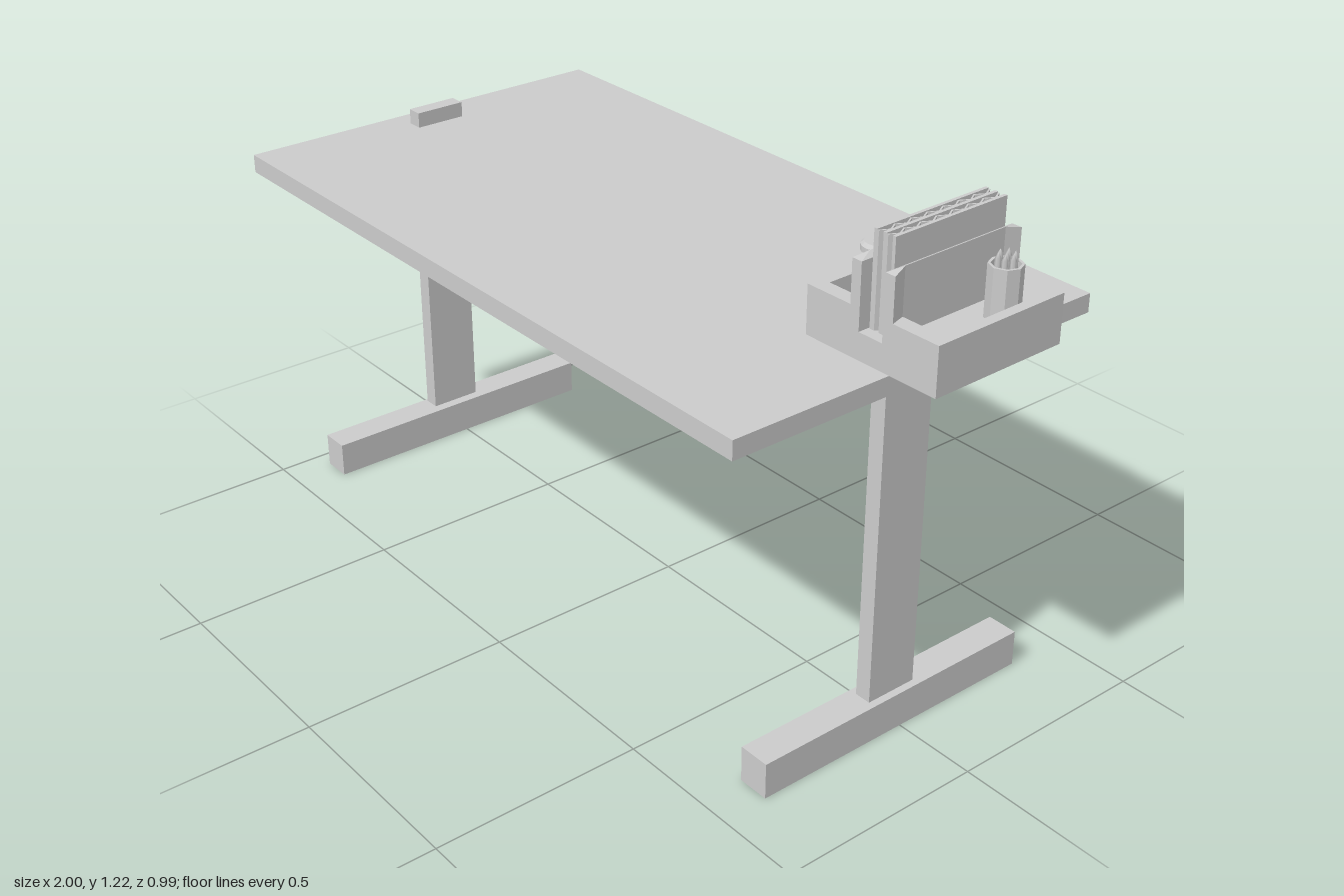
import * as THREE from 'three';

const grey = new THREE.MeshStandardMaterial({ color: 0xcccccc, flatShading: true });
const smooth = new THREE.MeshStandardMaterial({ color: 0xcccccc });

function add(parent, name, geometry, material = grey) {
  const mesh = new THREE.Mesh(geometry, material);
  mesh.name = name;
  parent.add(mesh);
  return mesh;
}

// Box given by its limits on each axis
function box(parent, name, [x0, x1], [y0, y1], [z0, z1]) {
  const mesh = add(parent, name, new THREE.BoxGeometry(x1 - x0, y1 - y0, z1 - z0));
  mesh.position.set((x0 + x1) / 2, (y0 + y1) / 2, (z0 + z1) / 2);
  return mesh;
}

// Plan outline of [x, z] points raised from y0 to y1, with optional holes
function plan(points, y0, y1, holes = []) {
  const toVectors = (list) => list.map(([x, z]) => new THREE.Vector2(x, -z));
  const shape = new THREE.Shape(toVectors(points));
  holes.forEach((h) => shape.holes.push(new THREE.Path(toVectors(h))));
  const g = new THREE.ExtrudeGeometry(shape, { depth: y1 - y0, bevelEnabled: false });
  return g.rotateX(-Math.PI / 2).translate(0, y0, 0);
}

const rect = (x0, x1, z) => [[x0, -z], [x1, -z], [x1, z], [x0, z]];

// Corrugated sheet core: a zigzag ribbon running along z
function zigzagCore(x0, x1, zMin, zMax, y0, y1) {
  const n = 14, t = 0.002;
  const line = [];
  for (let i = 0; i <= n; i++) {
    line.push([i % 2 ? x1 - t : x0 + t, zMin + ((zMax - zMin) * i) / n]);
  }
  const back = line.map(([x, z]) => [x + t, z]).reverse();
  return plan([...line.map(([x, z]) => [x - t, z]), ...back], y0, y1);
}

function lathe(parent, name, profile, x, z, sides) {
  const points = profile.map(([r, y]) => new THREE.Vector2(r, y));
  const mesh = add(parent, name, new THREE.LatheGeometry(points, sides));
  mesh.position.set(x, 0, z);
  return mesh;
}

function createOrganizer() {
  const tray = new THREE.Group();
  tray.name = 'organizer';
  const floor = 1.01, rim = 1.06, half = 0.174;
  box(tray, 'trayBase', [-0.173, 0.173], [0.95, floor], [-half, half]);

  for (const s of [-1, 1]) {
    // Compartment walls on each side of the central slot
    add(tray, 'compartmentWalls', plan(rect(s * 0.031, s * 0.173, half), floor, rim,
      [rect(s * 0.046, s * 0.149, 0.138)]));
    // Raised slot wall, flared and dipped at its ends
    const g = plan([[s * 0.031, -half], [s * 0.056, -half], [s * 0.046, -0.138],
      [s * 0.046, 0.138], [s * 0.056, half], [s * 0.031, half]], rim, 1.165);
    const p = g.attributes.position;
    for (let i = 0; i < p.count; i++) {
      if (p.getY(i) > 1.1 && Math.abs(p.getZ(i)) > 0.16) p.setY(i, 1.157);
    }
    g.computeVertexNormals();
    add(tray, 'slotWall', g);
  }

  // Upright panel: three sheets with corrugated cores between them
  const top = 1.22, z = [-0.157, 0.148];
  for (const x of [-0.024, 0, 0.024]) {
    box(tray, 'panelSheet', [x - 0.004, x + 0.004], [floor, top], z);
  }
  add(tray, 'panelCore', zigzagCore(-0.02, -0.004, ...z, floor, top - 0.002));
  add(tray, 'panelCore', zigzagCore(0.004, 0.02, ...z, floor, top - 0.002));

  // Lidded jars
  for (const jz of [-0.062, 0.063]) {
    lathe(tray, 'jar', [[0, floor], [0.035, floor], [0.035, 1.095], [0.027, 1.11],
      [0.027, 1.125], [0.037, 1.128], [0.037, 1.14], [0.03, 1.147], [0.012, 1.147],
      [0.01, 1.152], [0, 1.152]], -0.094, jz, 16);
  }

  // Cup with pens
  lathe(tray, 'penCup', [[0, floor], [0.036, floor], [0.036, 1.125], [0.03, 1.125],
    [0.03, 1.02], [0, 1.02]], 0.102, -0.081, 8);
  for (let i = 0; i < 7; i++) {
    const a = (i / 6) * Math.PI * 2, r = i < 6 ? 0.017 : 0;
    const pen = lathe(tray, 'pen', [[0, 1.02], [0.006, 1.02], [0.006, 1.138], [0, 1.15]],
      0.102 + r * Math.cos(a), -0.081 + r * Math.sin(a), 6);
    pen.material = smooth;
  }

  tray.position.set(0.822, 0, 0.004);
  tray.rotation.y = 0.02;
  return tray;
}

export function createModel() {
  const model = new THREE.Group();
  model.name = 'deskWithOrganizer';
  box(model, 'tableTop', [-1, 0.8], [0.845, 0.89], [-0.495, 0.495]);

  // T-shaped legs: post through the top and a long foot
  const legs = [
    { post: [-0.942, -0.902], foot: [-0.95, -0.876] },
    { post: [0.74, 0.78], foot: [0.722, 0.798] },
  ];
  for (const { post, foot } of legs) {
    box(model, 'legPost', post, [0.003, 0.928], [-0.05, 0.08]);
    box(model, 'foot', foot, [0, 0.087], [-0.356, 0.388]);
  }

  model.add(createOrganizer());
  return model;
}
